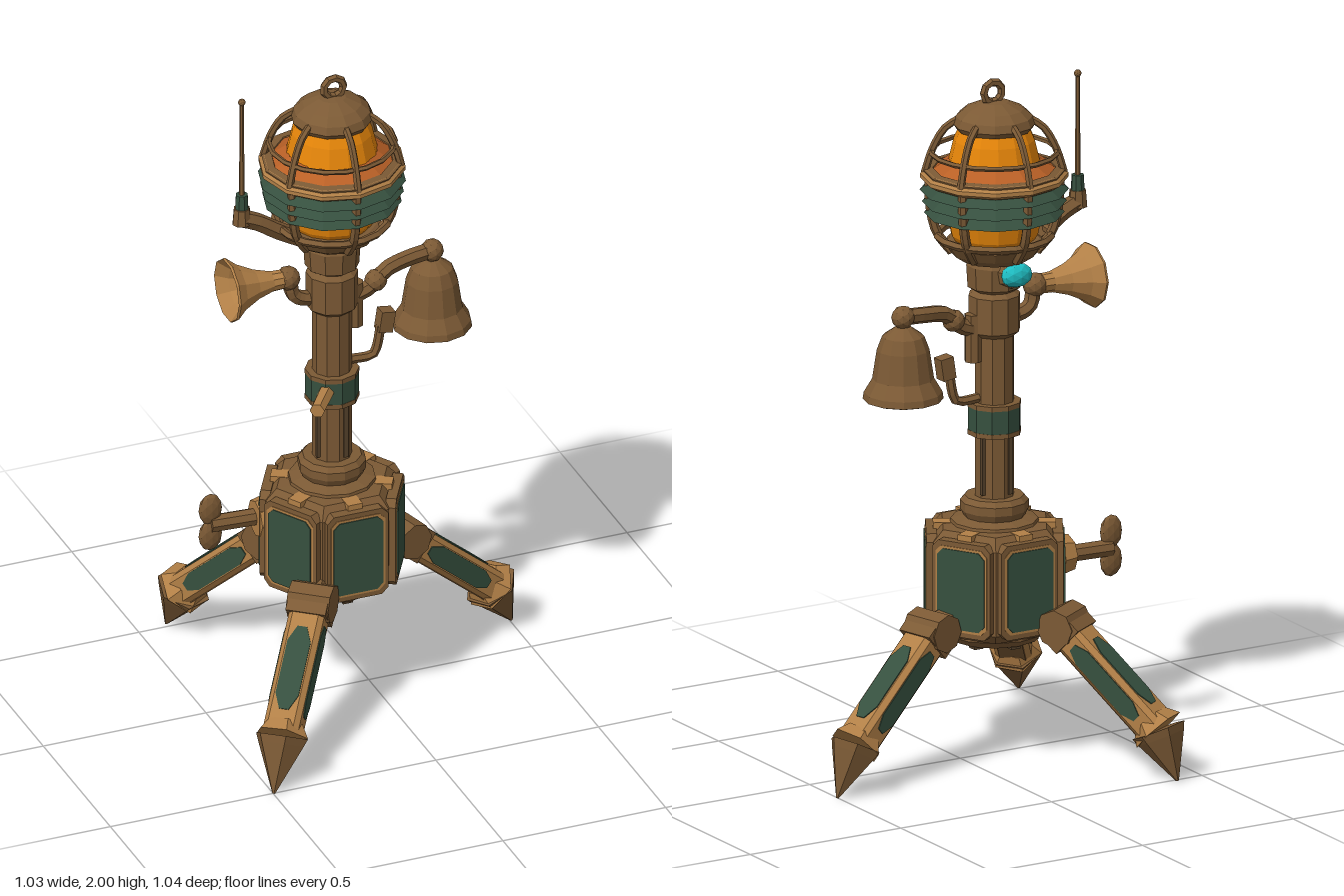
import * as THREE from 'three';

const mat = (name, color, side = THREE.FrontSide) => {
  const m = new THREE.MeshStandardMaterial({ color, side });
  m.name = name;
  return m;
};
const brown = mat('aged bronze', 0x7c5a35);
const tan = mat('worn bronze', 0xb28047);
const dark = mat('dark bronze', 0x56422b);
const green = mat('green paint', 0x36503f, THREE.DoubleSide);
const amber = mat('amber glass', 0xea880a);
const copper = mat('copper', 0xb96026, THREE.DoubleSide);
const cyan = mat('cyan lens', 0x1fbfc4);

const V = (x, y, z) => new THREE.Vector3(x, y, z);
const UP = V(0, 1, 0);
const AX = -0.113; // x of the central axis

// Faceted mesh
function add(parent, name, geo, material, x = 0, y = 0, z = 0) {
  const g = geo.index ? geo.toNonIndexed() : geo;
  g.computeVertexNormals();
  const m = new THREE.Mesh(g, material);
  m.name = name;
  m.position.set(x, y, z);
  parent.add(m);
  return m;
}
const lathe = (pts, seg = 12) => new THREE.LatheGeometry(pts.map(p => new THREE.Vector2(p[0], p[1])), seg);
const box = (w, h, d) => new THREE.BoxGeometry(w, h, d);
const ball = (r) => new THREE.IcosahedronGeometry(r, 1);
const tube = (pts, r, n = 8, sides = 6) =>
  new THREE.TubeGeometry(new THREE.CatmullRomCurve3(pts), n, r, sides);

// Rectangle with cut corners, extruded along z and centred
function plate(w, h, cx, cy, depth) {
  const x = w / 2, y = h / 2;
  const s = new THREE.Shape([[cx - x, -y], [x - cx, -y], [x, cy - y], [x, y - cy], [x - cx, y], [cx - x, y], [-x, y - cy], [-x, cy - y]]
    .map(p => new THREE.Vector2(p[0], p[1])));
  return new THREE.ExtrudeGeometry(s, { depth, bevelEnabled: false }).translate(0, 0, -depth / 2);
}

// Tapered rod between two points
function rod(parent, name, a, b, ra, rb, material, sides = 8) {
  const d = b.clone().sub(a);
  const m = add(parent, name, new THREE.CylinderGeometry(rb, ra, d.length(), sides), material);
  m.position.copy(a).add(b).multiplyScalar(0.5);
  m.quaternion.setFromUnitVectors(UP, d.normalize());
  return m;
}

function makeLeg(a, b, tip) {
  const leg = new THREE.Group();
  leg.name = 'leg';
  // Frame whose y runs down the leg and whose -z faces up and outward
  const beam = new THREE.Group();
  beam.name = 'legBeam';
  const d = b.clone().sub(a), len = d.length();
  d.normalize();
  const side = UP.clone().cross(d).normalize();
  const under = side.clone().cross(d).normalize();
  beam.quaternion.setFromRotationMatrix(new THREE.Matrix4().makeBasis(side, d, under));
  beam.position.copy(a);
  leg.add(beam);

  // Chamfered beam
  const w = 0.052, t = 0.045;
  const strut = plate(w * 2, t * 2, 0.014, 0.014, len).rotateX(-Math.PI / 2);
  add(beam, 'legStrut', strut, tan, 0, len / 2, 0);
  // Paint on the upper face and both sides, bare underside
  add(beam, 'legTopPaint', plate(0.068, len * 0.62, 0.02, 0.045, 0.006), green, 0, len * 0.54, -t);
  add(beam, 'legUnderside', box(0.074, len, 0.006), brown, 0, len / 2, t);
  for (const k of [-1, 1]) {
    const paint = plate(0.056, len * 0.68, 0.016, 0.04, 0.006).rotateY(Math.PI / 2);
    add(beam, 'legSidePaint', paint, green, k * w, len * 0.52, 0);
  }
  add(beam, 'legClamp', box(0.118, 0.035, 0.102), brown, 0, 0.035, 0);
  const pin = add(beam, 'hipPin', new THREE.CylinderGeometry(0.056, 0.056, 0.125, 8), brown);
  pin.rotation.z = Math.PI / 2;

  // Flared ankle and spike foot
  const f = tip.clone().sub(b).normalize();
  const at = (s) => b.clone().addScaledVector(f, s);
  rod(leg, 'ankle', b.clone().addScaledVector(d, -0.035), at(0.005), 0.055, 0.08, tan, 6);
  rod(leg, 'ankleRim', at(0.005), at(0.028), 0.08, 0.07, brown, 6);
  rod(leg, 'footSpike', at(0.028), tip, 0.07, 0.004, brown, 6);
  return leg;
}

function makeBase() {
  const g = new THREE.Group();
  g.name = 'base';
  // Six-sided housing with sloped top
  const body = add(g, 'housing', lathe([[0, 0.37], [0.17, 0.37], [0.202, 0.4], [0.204, 0.65], [0.17, 0.685], [0, 0.69]], 6), brown);
  body.rotation.y = Math.PI / 6;
  for (let i = 0; i < 6; i++) {
    const face = new THREE.Group();
    face.name = 'housingSide';
    face.rotation.y = i * Math.PI / 3;
    add(face, 'panelFrame', plate(0.188, 0.28, 0.02, 0.02, 0.03), brown, 0, 0.53, 0.18);
    add(face, 'wornBorder', plate(0.166, 0.25, 0.018, 0.018, 0.006), tan, 0, 0.53, 0.194);
    add(face, 'greenPanel', plate(0.152, 0.235, 0.018, 0.018, 0.006), green, 0, 0.53, 0.197);
    add(face, 'topLug', box(0.045, 0.022, 0.05), tan, 0, 0.676, 0.15);
    g.add(face);
  }
  add(g, 'bottomPlate', lathe([[0, 0.345], [0.13, 0.345], [0.15, 0.365], [0.15, 0.4]], 12), brown);
  add(g, 'bottomHub', lathe([[0, 0.34], [0.05, 0.34], [0.06, 0.35]], 8), dark);
  for (let i = 0; i < 6; i++) {
    const a = i * Math.PI / 3;
    add(g, 'bottomBolt', box(0.03, 0.03, 0.03), dark, 0.105 * Math.sin(a), 0.35, 0.105 * Math.cos(a));
  }
  add(g, 'postSocket', lathe([[0.13, 0.67], [0.125, 0.695], [0.088, 0.705], [0.098, 0.725], [0.098, 0.75], [0.085, 0.765], [0, 0.765]]), brown);
  // Winding key
  rod(g, 'keyMount', V(-0.17, 0.57, -0.05), V(-0.215, 0.57, -0.05), 0.065, 0.055, tan);
  rod(g, 'keyShaft', V(-0.2, 0.57, -0.06), V(-0.345, 0.57, -0.07), 0.026, 0.026, brown);
  for (const s of [-1, 1]) {
    const wing = add(g, 'keyWing', ball(1), brown, -0.345, 0.576 + s * 0.042, -0.07);
    wing.scale.set(0.036, 0.05, 0.017);
  }
  return g;
}

function makePost() {
  const g = new THREE.Group();
  g.name = 'post';
  add(g, 'column', new THREE.CylinderGeometry(0.057, 0.057, 0.7, 10), brown, 0, 1.09, 0);
  for (let i = 0; i < 4; i++) {
    const a = i * Math.PI / 2 + 0.4;
    add(g, 'columnGroove', box(0.014, 0.17, 0.014), dark, 0.054 * Math.sin(a), 0.86, 0.054 * Math.cos(a));
  }
  // Painted collar with a clamp handle
  add(g, 'collar', new THREE.CylinderGeometry(0.077, 0.077, 0.07, 10), green, 0, 0.995, 0);
  for (const y of [0.955, 1.037]) add(g, 'collarRim', new THREE.CylinderGeometry(0.078, 0.078, 0.014, 10), brown, 0, y, 0);
  rod(g, 'clampHandle', V(0, 1, 0), V(-0.105, 1, 0.145), 0.024, 0.022, tan, 6);
  // Bracket rings and neck
  add(g, 'bracketRing', lathe([[0.057, 1.24], [0.075, 1.255], [0.075, 1.36], [0.057, 1.375]], 10), brown);
  add(g, 'neck', lathe([[0.055, 1.37], [0.078, 1.385], [0.082, 1.45], [0.07, 1.475]], 10), brown);
  // Lens at the back of the neck
  rod(g, 'lensMount', V(-0.01, 1.435, -0.05), V(-0.018, 1.435, -0.085), 0.05, 0.04, brown);
  add(g, 'lens', ball(1), cyan, -0.018, 1.435, -0.094).scale.set(0.05, 0.036, 0.028);
  // Side pipe and lever
  rod(g, 'sidePipe', V(0.07, 1.17, 0), V(0.07, 1.31, 0), 0.025, 0.025, brown);
  add(g, 'lever', tube([V(0.04, 1.06, 0), V(0.125, 1.06, 0), V(0.137, 1.08, 0), V(0.15, 1.15, 0)], 0.014), brown);
  add(g, 'leverGrip', box(0.042, 0.065, 0.04), brown, 0.163, 1.165, 0).rotation.z = -0.15;
  return g;
}

function makeBell() {
  const g = new THREE.Group();
  g.name = 'bell';
  const x = 0.318, z = -0.025;
  add(g, 'bellArm', tube([V(0.05, 1.26, 0), V(0.12, 1.285, 0), V(0.165, 1.325, -0.005), V(0.25, 1.34, -0.02), V(x, 1.345, z)], 0.024, 10, 7), brown);
  add(g, 'armElbow', ball(0.033), brown, 0.135, 1.3, 0);
  add(g, 'armKnob', ball(0.034), brown, x, 1.345, z);
  add(g, 'bellShell', lathe([[0.06, 1.13], [0.1, 1.1], [0.115, 1.105], [0.112, 1.125], [0.088, 1.165], [0.075, 1.25], [0.06, 1.29], [0.025, 1.315], [0, 1.32]], 12), brown, x, 0, z);
  add(g, 'bellInside', lathe([[0.1, 1.1], [0.065, 1.16], [0.05, 1.25], [0, 1.27]], 12).scale(0.99, 1, 0.99), dark, x, 0, z);
  add(g, 'clapper', ball(0.025), dark, x, 1.1, z);
  return g;
}

function makeHorn() {
  const g = new THREE.Group();
  g.name = 'horn';
  const horn = lathe([[0, 0], [0.028, 0], [0.03, 0.05], [0.045, 0.1], [0.07, 0.15], [0.095, 0.18], [0.093, 0.187], [0.062, 0.155], [0.03, 0.1], [0, 0.08]], 10);
  horn.rotateZ(Math.PI / 2);
  add(g, 'hornBell', horn, tan, -0.137, 1.365, 0);
  add(g, 'hornCap', ball(0.036), brown, -0.135, 1.365, 0);
  add(g, 'hornArm', tube([V(-0.13, 1.36, 0), V(-0.12, 1.31, 0), V(-0.09, 1.29, 0), V(-0.04, 1.285, 0)], 0.022), brown);
  return g;
}

function makeLantern() {
  const g = new THREE.Group();
  g.name = 'lantern';
  add(g, 'lowerCup', lathe([[0.06, 1.455], [0.095, 1.465], [0.125, 1.485], [0.145, 1.515], [0.13, 1.525], [0, 1.525]]), brown);
  add(g, 'glass', lathe([[0, 1.5], [0.1, 1.5], [0.125, 1.54], [0.138, 1.6], [0.14, 1.68], [0.133, 1.75], [0.116, 1.82], [0.09, 1.88], [0, 1.89]], 14), amber);
  add(g, 'reflector', lathe([[0.182, 1.726], [0.13, 1.762]]), copper);
  // Wide guard ring with worn outer edge
  add(g, 'guardRing', lathe([[0.16, 1.705], [0.195, 1.695], [0.204, 1.73], [0.175, 1.735], [0.16, 1.705]]), brown);
  add(g, 'guardEdge', lathe([[0.195, 1.696], [0.211, 1.706], [0.211, 1.718], [0.196, 1.732]]), tan);
  // Overlapping louvres
  [1.685, 1.65, 1.617].forEach((y, i) =>
    add(g, 'louvre', lathe([[0.212 - i * 0.006, y - 0.015], [0.155, y + 0.03]], 12), green));
  add(g, 'louvreBand', lathe([[0.145, 1.59], [0.165, 1.6], [0.165, 1.7]], 12), green);
  // Cage hoops and six bars
  for (const [r, y, t] of [[0.18, 1.782, 0.008], [0.162, 1.535, 0.012]]) {
    const hoop = new THREE.TorusGeometry(r, t, 5, 18);
    hoop.rotateX(Math.PI / 2);
    add(g, 'cageHoop', hoop, brown, 0, y, 0);
  }
  for (let i = 0; i < 6; i++) {
    const a = i * Math.PI / 3, s = Math.sin(a), c = Math.cos(a);
    const path = p => p.map(([r, y]) => V(r * s, y, r * c));
    add(g, 'upperBar', tube(path([[0.198, 1.72], [0.176, 1.79], [0.14, 1.853], [0.1, 1.88]]), 0.011), brown);
    add(g, 'lowerBar', tube(path([[0.185, 1.7], [0.182, 1.62], [0.162, 1.54], [0.12, 1.485]]), 0.014), brown);
  }
  // Cap with lifting eye
  add(g, 'cap', lathe([[0, 1.85], [0.108, 1.85], [0.118, 1.865], [0.11, 1.888], [0.085, 1.91], [0.04, 1.93], [0, 1.935]]), brown);
  add(g, 'liftingEye', new THREE.TorusGeometry(0.03, 0.012, 6, 9), brown, 0.005, 1.958, 0);
  // Aerial on a side arm
  add(g, 'aerialArm', tube([V(-0.1, 1.49, 0), V(-0.17, 1.53, 0), V(-0.23, 1.57, 0), V(-0.275, 1.59, 0)], 0.026), brown);
  rod(g, 'aerialSocket', V(-0.277, 1.575, 0), V(-0.277, 1.625, 0), 0.028, 0.024, brown);
  rod(g, 'aerialSleeve', V(-0.277, 1.625, 0), V(-0.277, 1.67, 0), 0.02, 0.018, green);
  rod(g, 'aerialRod', V(-0.277, 1.66, 0), V(-0.277, 1.97, 0), 0.008, 0.006, brown, 6);
  add(g, 'aerialTip', ball(0.011), brown, -0.277, 1.97, 0);
  return g;
}

export function createModel() {
  const model = new THREE.Group();
  model.name = 'signalLantern';
  const mast = new THREE.Group();
  mast.name = 'mast';
  mast.position.x = AX;
  mast.add(makeBase(), makePost(), makeBell(), makeHorn(), makeLantern());
  model.add(mast);
  // Three splayed legs: hip, ankle, tip, plus a hip bracket into the housing
  for (const [a, b, t] of [
    [V(0.13, 0.415, -0.06), V(0.43, 0.145, -0.14), V(0.505, 0, -0.16)],
    [V(-0.22, 0.415, -0.205), V(-0.38, 0.145, -0.455), V(-0.41, 0, -0.515)],
    [V(-0.255, 0.415, 0.2), V(-0.445, 0.145, 0.435), V(-0.5, 0, 0.505)],
  ]) {
    const leg = makeLeg(a, b, t);
    rod(leg, 'hipBracket', V(AX, 0.43, 0).lerp(a, 0.4).setY(0.43), a, 0.05, 0.045, brown, 6);
    model.add(leg);
  }
  return model;
}
